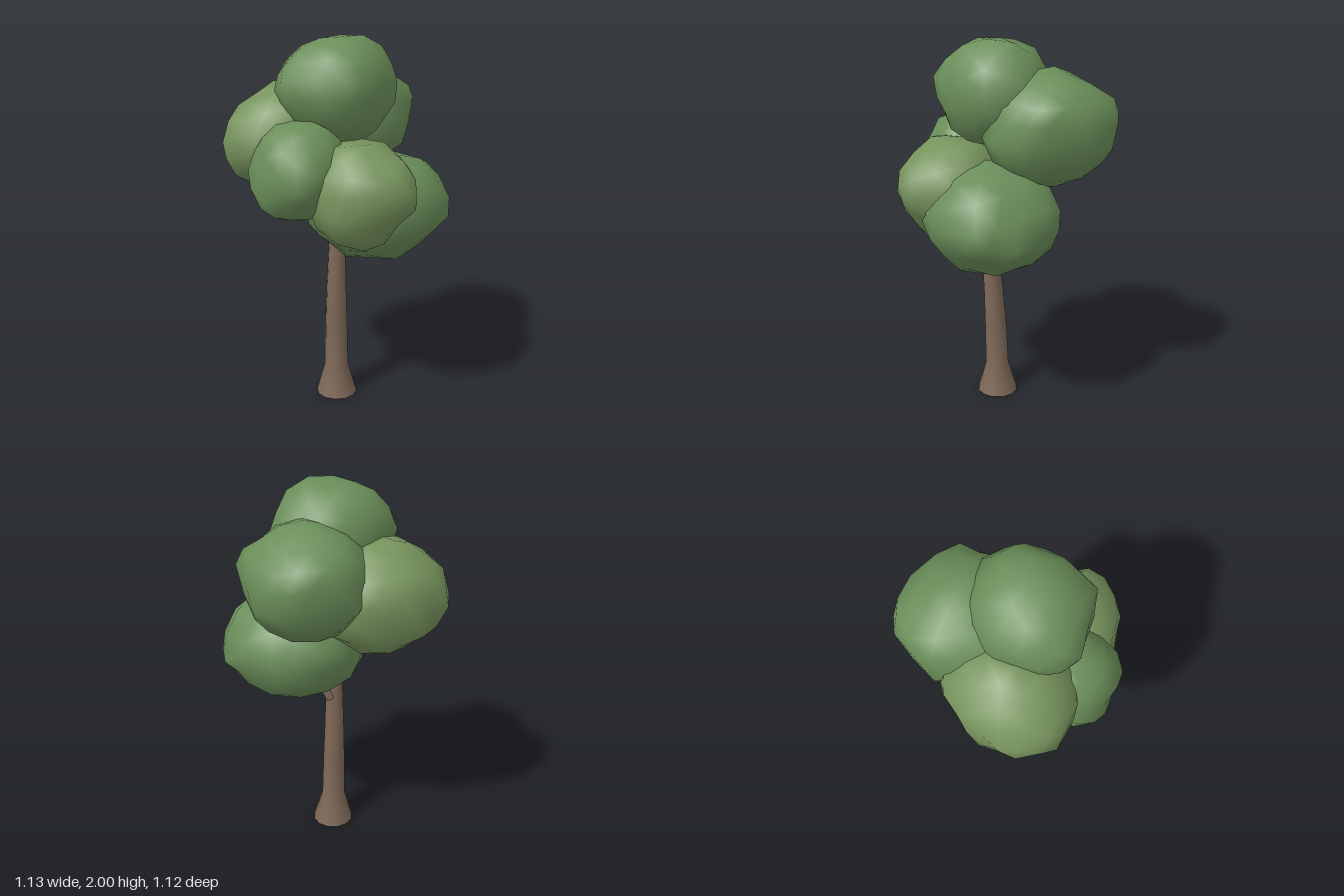
import * as THREE from 'three';
import { mergeVertices } from 'three/addons/utils/BufferGeometryUtils.js';

const bark = new THREE.MeshStandardMaterial({ color: 0x7d6857, side: THREE.DoubleSide });
const darkLeaf = new THREE.MeshStandardMaterial({ color: 0x6a8e59 });
const lightLeaf = new THREE.MeshStandardMaterial({ color: 0x77945d });

// Small seeded generator so that every clump keeps its own lumpy shape
function seeded(seed) {
  let s = seed * 7919 + 17;
  return () => (s = (s * 16807) % 2147483647) / 2147483647;
}

// Lumpy ball, jittered, fitted into the box from min to max, then drawn out to its peaks
function clumpGeometry(min, max, peaks, seed) {
  const rand = seeded(seed);
  let geo = new THREE.IcosahedronGeometry(1, 2);
  geo.deleteAttribute('normal');
  geo.deleteAttribute('uv');
  geo = mergeVertices(geo, 1e-3);
  geo.rotateY(rand() * 6).rotateX(rand() * 0.6);
  const pos = geo.attributes.position;
  const v = new THREE.Vector3();
  for (let i = 0; i < pos.count; i++) {
    v.fromBufferAttribute(pos, i).multiplyScalar(0.95 + 0.12 * rand());
    pos.setXYZ(i, v.x, v.y, v.z);
  }
  geo.computeBoundingBox();
  const size = geo.boundingBox.getSize(new THREE.Vector3());
  const mid = geo.boundingBox.getCenter(new THREE.Vector3());
  geo.translate(-mid.x, -mid.y, -mid.z);
  geo.scale(...max.map((m, k) => (m - min[k]) / size.getComponent(k)));
  geo.translate(...max.map((m, k) => (m + min[k]) / 2));

  // The vertex nearest to a peak moves onto it, and its neighbours follow less
  for (const p of peaks) {
    const peak = new THREE.Vector3(...p);
    const near = new THREE.Vector3(9, 9, 9);
    for (let i = 0; i < pos.count; i++) {
      v.fromBufferAttribute(pos, i);
      if (v.distanceTo(peak) < near.distanceTo(peak)) near.copy(v);
    }
    const shift = peak.sub(near);
    for (let i = 0; i < pos.count; i++) {
      v.fromBufferAttribute(pos, i);
      v.addScaledVector(shift, Math.exp(-v.distanceToSquared(near) / 0.015));
      pos.setXYZ(i, v.x, v.y, v.z);
    }
  }
  geo.computeVertexNormals();
  return geo;
}

// Trunk centre line, leaning slightly left of centre and forwards with height
const lean = (y) => [-0.015 - 0.02 * y, 0.005 + 0.05 * y * y];

// Flared trunk, open underneath
function trunkGeometry() {
  const profile = [
    [0.114, 0], [0.066, 0.17], [0.062, 0.4],
    [0.055, 0.62], [0.046, 0.88], [0.036, 1.15], [0.025, 1.35], [0, 1.35],
  ].map(([r, y]) => new THREE.Vector2(r, y));
  const geo = new THREE.LatheGeometry(profile, 12);
  const pos = geo.attributes.position;
  for (let i = 0; i < pos.count; i++) {
    const [dx, dz] = lean(pos.getY(i));
    pos.setX(i, pos.getX(i) + dx);
    pos.setZ(i, pos.getZ(i) + dz);
  }
  return geo;
}

// Tapered straight limb between two points
function limb(from, to, r0, r1) {
  const a = new THREE.Vector3(...from), b = new THREE.Vector3(...to);
  const dir = b.clone().sub(a);
  const mesh = new THREE.Mesh(new THREE.CylinderGeometry(r1, r0, dir.length(), 7), bark);
  mesh.position.copy(a).add(b).multiplyScalar(0.5);
  mesh.quaternion.setFromUnitVectors(new THREE.Vector3(0, 1, 0), dir.normalize());
  return mesh;
}

export function createModel() {
  const tree = new THREE.Group();
  tree.name = 'tree';
  const add = (mesh, name, parent = tree) => {
    mesh.name = name;
    parent.add(mesh);
  };

  add(new THREE.Mesh(trunkGeometry(), bark), 'trunk');

  // Branches reaching into the clumps
  const branches = new THREE.Group();
  add(branches, 'branches');
  [
    [[0.0, 0.79, 0.005], [0.17, 1.12, 0.06]],
    [[-0.03, 0.95, 0.04], [-0.26, 1.4, 0.08]],
    [[-0.03, 1.0, 0.04], [-0.22, 1.45, -0.2]],
    [[-0.03, 1.1, 0.06], [0.17, 1.55, -0.2]],
    [[-0.04, 1.2, 0.07], [-0.02, 1.75, 0.02]],
  ].forEach(([a, b]) => add(limb(a, b, 0.024, 0.014), 'branch', branches));

  // Leaf clumps: name, lower corner, upper corner, peaks, material
  const foliage = new THREE.Group();
  add(foliage, 'foliage');
  [
    ['topClump', [-0.34, 1.46, -0.27], [0.31, 2.0, 0.3],
      [[-0.11, 1.8, 0.32], [-0.35, 1.79, 0.08], [-0.02, 1.54, 0.25]], darkLeaf],
    ['backLeftClump', [-0.15, 1.27, -0.53], [0.49, 1.87, 0.13],
      [[0.24, 1.64, -0.56], [0.5, 1.64, -0.1]], darkLeaf],
    ['backRightClump', [-0.54, 1.17, -0.5], [0.16, 1.75, 0.1],
      [[-0.565, 1.38, -0.16], [-0.5, 1.5, -0.34]], lightLeaf],
    ['frontRightClump', [-0.51, 1.09, -0.18], [0.0, 1.6, 0.34],
      [[-0.38, 1.3, 0.345], [-0.48, 1.17, 0.1]], darkLeaf],
    ['frontClump', [-0.28, 0.96, -0.02], [0.3, 1.5, 0.52],
      [[0.11, 1.29, 0.555], [-0.04, 0.97, 0.38]], lightLeaf],
    ['lowLeftClump', [-0.2, 0.82, -0.27], [0.54, 1.42, 0.44],
      [[0.56, 1.05, 0.07], [0.53, 1.15, 0.26]], darkLeaf],
  ].forEach(([name, min, max, peaks, mat], i) =>
    add(new THREE.Mesh(clumpGeometry(min, max, peaks, i + 3), mat), name, foliage));

  return tree;
}
